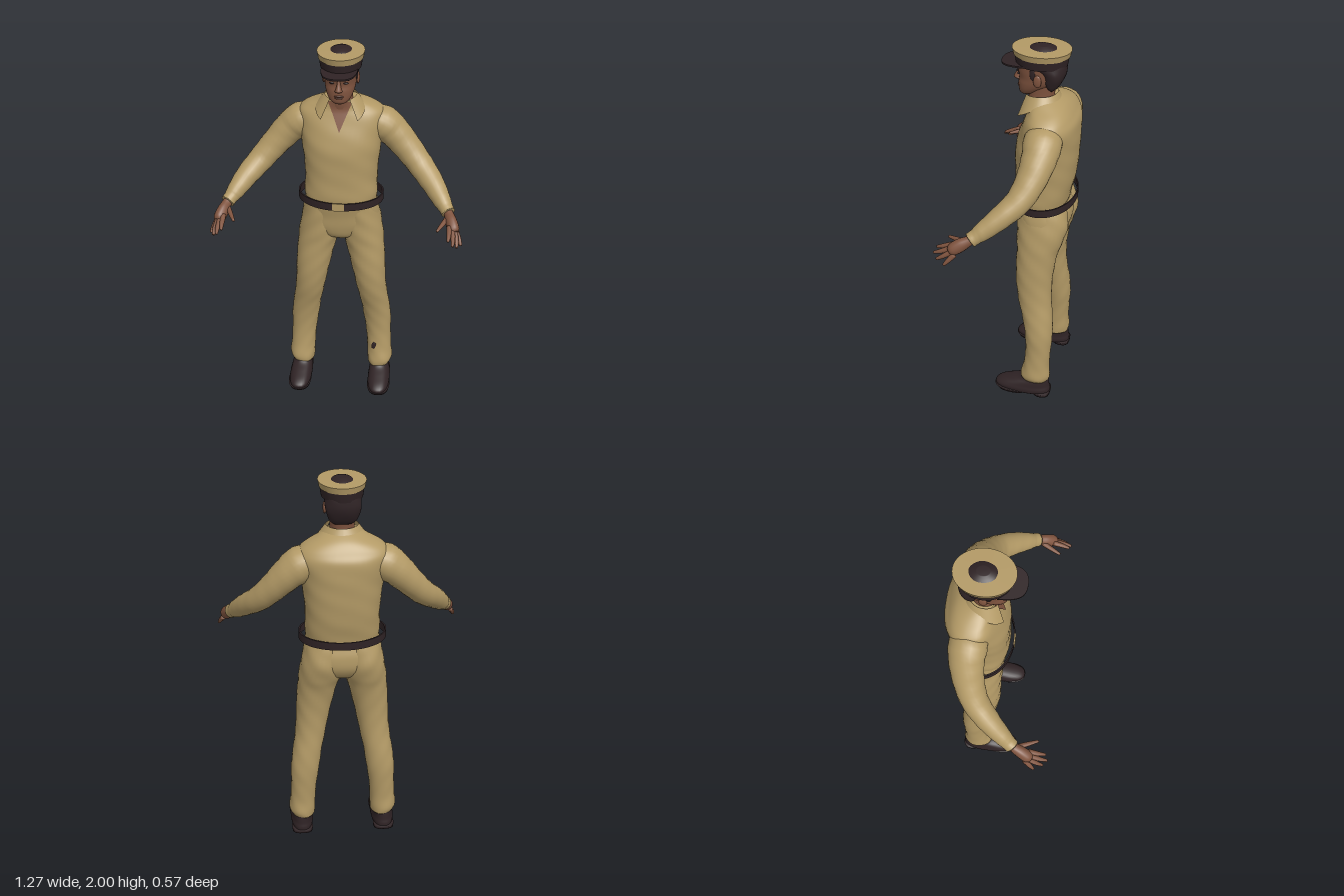
import * as THREE from 'three';
import { toCreasedNormals } from 'three/addons/utils/BufferGeometryUtils.js';

const mat = (name, color, side = THREE.FrontSide) => {
  const m = new THREE.MeshStandardMaterial({ color, side });
  m.name = name;
  return m;
};

// Smooth interpolation between rows of numbers
function at(rows, t) {
  const i = Math.min(Math.floor(t), rows.length - 2), f = t - i;
  const r = k => rows[Math.max(0, Math.min(rows.length - 1, k))];
  return rows[0].map((_, c) => {
    const [a, b, d, e] = [r(i - 1)[c], r(i)[c], r(i + 1)[c], r(i + 2)[c]];
    return b + 0.5 * f * (d - a + f * (2 * a - 5 * b + 4 * d - e + f * (3 * (b - d) + e - a)));
  });
}

// Skin over a stack of closed rings, closed at both ends
function skin(rings) {
  const n = rings[0].length, pos = [], idx = [];
  const centre = ring => {
    const c = ring.reduce((s, p) => s.add(p), new THREE.Vector3()).divideScalar(n);
    return ring.map(() => c);
  };
  const all = [centre(rings[0]), ...rings, centre(rings[rings.length - 1])];
  all.forEach(ring => ring.forEach(p => pos.push(p.x, p.y, p.z)));
  for (let j = 0; j < all.length - 1; j++) for (let i = 0; i < n; i++) {
    const a = j * n + i, b = j * n + (i + 1) % n;
    idx.push(a, b, b + n, a, b + n, a + n);
  }
  const g = new THREE.BufferGeometry();
  g.setAttribute('position', new THREE.Float32BufferAttribute(pos, 3));
  g.setIndex(idx);
  g.computeVertexNormals();
  return g;
}

// Upright loft, rows: [y, centreX, halfWidth, frontZ, backZ, roundness]
function loft(rows, folds = 0, seg = 32, sub = 5) {
  const rings = [], pw = (v, n) => Math.sign(v) * Math.abs(v) ** (2 / n);
  for (let k = 0; k <= (rows.length - 1) * sub; k++) {
    const [y, cx, hx, zf, zb, n] = at(rows, k / sub);
    rings.push(Array.from({ length: seg }, (_, i) => {
      const a = i / seg * Math.PI * 2;
      const w = 1 + folds * Math.sin(3 * a + 31 * y) * Math.sin(23 * y + 2 * a);
      return new THREE.Vector3(cx + hx * w * pw(Math.sin(a), n), y, (zf + zb) / 2 + (zf - zb) / 2 * w * pw(Math.cos(a), n));
    }));
  }
  return skin(rings);
}

// Limb along a path, rows: [x, y, z, radiusA, radiusB]
function limb(rows, seg = 16, sub = 5, folds = 0) {
  const rings = [], last = rows.length - 1, P = t => new THREE.Vector3(...at(rows, t));
  for (let k = 0; k <= last * sub; k++) {
    const t = k / sub, r = at(rows, t);
    const dir = P(Math.min(last, t + 0.1)).sub(P(Math.max(0, t - 0.1))).normalize();
    const u = new THREE.Vector3(0, 1, 0).addScaledVector(dir, -dir.y).normalize();
    const v = new THREE.Vector3().crossVectors(dir, u);
    rings.push(Array.from({ length: seg }, (_, i) => {
      const a = i / seg * Math.PI * 2, w = 1 + folds * Math.sin(2 * a + 4 * t) * Math.sin(5 * t);
      return P(t).addScaledVector(u, r[3] * w * Math.cos(a)).addScaledVector(v, r[4] * w * Math.sin(a));
    }));
  }
  return skin(rings);
}

function mirror(geo) {
  const g = geo.clone().scale(-1, 1, 1), ix = g.index.array;
  for (let i = 0; i < ix.length; i += 3) [ix[i], ix[i + 1]] = [ix[i + 1], ix[i]];
  g.computeVertexNormals();
  return g;
}

// Front depth of an upright loft at x, y
function frontZ(rows, x, y) {
  let lo = 0, hi = rows.length - 1;
  for (let i = 0; i < 24; i++) at(rows, (lo + hi) / 2)[0] < y ? lo = (lo + hi) / 2 : hi = (lo + hi) / 2;
  const [, cx, hx, zf, zb, n] = at(rows, lo);
  return (zf + zb) / 2 + (zf - zb) / 2 * (1 - Math.min(1, Math.abs(x - cx) / hx) ** n) ** (1 / n);
}

export function createModel() {
  const model = new THREE.Group();
  const khaki = mat('khaki cloth', 0xb39a66, THREE.DoubleSide), brown = mat('brown skin', 0x80543f, THREE.DoubleSide);
  const dark = mat('dark leather and hair', 0x2f2325, THREE.DoubleSide), lip = mat('lips', 0x653f32);
  const add = (name, geo, m, x = 0, y = 0, z = 0) => {
    const mesh = new THREE.Mesh(geo, m);
    mesh.name = name;
    mesh.position.set(x, y, z);
    model.add(mesh);
    return mesh;
  };
  const pair = (name, geo, m) => {
    add('left' + name, geo, m);
    add('right' + name, mirror(geo), m);
  };

  // Shirt body
  const torso = [
    [1.17, 0, .183, .03, -.235, 2.4], [1.22, 0, .19, .035, -.245, 2.4], [1.3, 0, .187, .033, -.262, 2.4],
    [1.4, 0, .193, .033, -.273, 2.4], [1.48, 0, .203, .031, -.278, 2.3], [1.55, 0, .212, .015, -.28, 2.3],
    [1.62, 0, .222, -.01, -.275, 2.4], [1.66, 0, .215, -.025, -.255, 2.4], [1.69, 0, .18, -.035, -.235, 2.3],
    [1.715, 0, .13, -.035, -.21, 2.2], [1.74, 0, .085, -.03, -.17, 2]];
  add('shirt', loft(torso, .012, 48), khaki);

  // Open neckline, a thin sheet following the chest
  const vee = new THREE.PlaneGeometry(2, 1, 10, 12), vp = vee.attributes.position;
  for (let i = 0; i < vp.count; i++) {
    const k = vp.getY(i) + .5, y = 1.585 + .15 * k, x = vp.getX(i) * .062 * k;
    vp.setXYZ(i, x, y, frontZ(torso, x, y) + .006);
  }
  vee.computeVertexNormals();
  add('neckline', vee, brown);

  // Collar flaps, folded down around the neck
  const flap = new THREE.PlaneGeometry(1, 1, 16, 3), fp = flap.attributes.position;
  for (let i = 0; i < fp.count; i++) {
    const u = fp.getX(i) + .5, v = .5 - fp.getY(i), a = .65 + u * (Math.PI - .65), front = Math.max(0, 1 - 2.5 * u);
    fp.setXYZ(i, Math.sin(a) * (.08 + .035 * v + .035 * v * front), 1.762 - .008 * front - v * (.045 + .055 * front),
      -.085 + Math.cos(a) * (.08 + .025 * v) + .012 * v * front);
  }
  flap.computeVertexNormals();
  pair('Collar', flap, khaki);

  // Sleeves with cuffs
  pair('Sleeve', limb([
    [.13, 1.61, -.14, .06, .08], [.2, 1.585, -.145, .088, .095], [.265, 1.535, -.145, .082, .085],
    [.34, 1.455, -.125, .072, .074], [.41, 1.378, -.085, .064, .066], [.475, 1.315, -.015, .056, .058],
    [.525, 1.258, .055, .046, .046], [.545, 1.236, .085, .037, .038], [.56, 1.22, .108, .037, .036]], 24, 5, .03), khaki);

  // Hands: palm, four fingers and thumb
  pair('Palm', limb([[.545, 1.237, .085, .024, .022], [.562, 1.216, .115, .026, .024],
    [.575, 1.195, .15, .034, .029], [.588, 1.172, .185, .032, .03], [.594, 1.16, .2, .02, .022]]), brown);
  const fingers = [
    ['Index', [.567, 1.186, .19], [.567, 1.166, .24], [.564, 1.152, .275]],
    ['Middle', [.583, 1.174, .193], [.588, 1.148, .248], [.587, 1.132, .285]],
    ['Ring', [.596, 1.162, .188], [.606, 1.134, .232], [.608, 1.113, .265]],
    ['Little', [.604, 1.152, .175], [.62, 1.122, .203], [.629, 1.1, .222]],
    ['Thumb', [.555, 1.2, .132], [.53, 1.19, .185], [.508, 1.182, .232]]];
  for (const [name, a, b, c] of fingers)
    pair(name + 'Finger', limb([[...a, .014, .014], [...b, .0115, .0115], [...c, .007, .007]], 10, 4), brown);

  // Trousers
  add('trouserSeat', loft([
    [.935, 0, .02, -.06, -.14, 2], [.97, 0, .13, -.012, -.205, 2.2], [1.03, 0, .2, .008, -.245, 2.3],
    [1.1, 0, .201, .016, -.25, 2.4], [1.16, 0, .19, .028, -.235, 2.4], [1.2, 0, .183, .03, -.235, 2.4]], .006, 40), khaki);
  const leg = [
    [.095, .215, .06, -.05, -.2, 2.1], [.13, .222, .07, -.045, -.206, 2.1], [.2, .218, .068, -.06, -.2, 2.1],
    [.3, .211, .069, -.068, -.205, 2.1], [.4, .202, .076, -.062, -.21, 2.1], [.5, .188, .077, -.045, -.205, 2.1],
    [.6, .17, .08, -.02, -.195, 2.1], [.7, .157, .086, -.005, -.193, 2.1], [.8, .145, .095, 0, -.2, 2.1],
    [.9, .13, .103, 0, -.216, 2.1], [.97, .116, .11, .004, -.238, 2.1], [1.05, .106, .106, .008, -.256, 2.1],
    [1.12, .1, .095, .012, -.248, 2.1], [1.18, .09, .088, .015, -.23, 2.1]];
  pair('TrouserLeg', loft(leg, .03), khaki);

  // Small dark tear on the left shin
  const tear = add('trouserTear', new THREE.SphereGeometry(1, 12, 8), dark, .19, .228, frontZ(leg, .19, .228) + .001);
  tear.scale.set(.014, .024, .004);

  // Shoes: upper, front sole and heel
  pair('ShoeUpper', loft([
    [.014, .223, .06, .098, -.208, 2.5], [.035, .223, .062, .098, -.208, 2.5], [.055, .222, .058, .07, -.204, 2.4],
    [.075, .221, .054, .015, -.202, 2.3], [.095, .219, .05, -.04, -.2, 2.2], [.12, .218, .048, -.06, -.195, 2]]), dark);
  pair('ShoeSole', loft([[0, .224, .059, .09, -.09, 2.4], [.02, .224, .064, .103, -.1, 2.4]], 0, 32, 2), dark);
  pair('ShoeHeel', loft([[0, .224, .055, -.12, -.21, 2.8], [.02, .224, .057, -.11, -.212, 2.8]], 0, 32, 2), dark);

  // Belt hoop standing off the waist, and its buckle
  const ring = pts => toCreasedNormals(new THREE.LatheGeometry(pts.map(p => new THREE.Vector2(...p)), 64), .6);
  const belt = add('belt', ring([[.214, 1.165], [.222, 1.165], [.222, 1.206], [.214, 1.206], [.214, 1.165]]), dark, 0, 0, -.11);
  belt.scale.z = .745;
  add('buckle', new THREE.BoxGeometry(.06, .042, .008), khaki, 0, 1.186, .054);

  // Neck and head
  add('neck', loft([[1.64, 0, .07, -.04, -.16, 2], [1.7, 0, .066, -.028, -.155, 2], [1.75, 0, .06, -.022, -.15, 2],
    [1.82, 0, .062, -.03, -.16, 2]]), brown);
  add('head', loft([
    [1.742, 0, .026, .014, -.03, 2.2], [1.755, 0, .046, .023, -.06, 2.2], [1.78, 0, .063, .026, -.1, 2.2],
    [1.81, 0, .074, .027, -.15, 2.2], [1.84, 0, .079, .023, -.18, 2.2], [1.88, 0, .082, .03, -.19, 2.2],
    [1.92, 0, .082, .025, -.19, 2.2], [1.96, 0, .07, 0, -.175, 2]]), brown);
  add('nose', loft([[1.808, 0, .012, .03, .01, 2], [1.816, 0, .019, .05, .01, 2], [1.825, 0, .015, .052, .01, 2],
    [1.85, 0, .009, .038, .01, 2], [1.872, 0, .008, .03, .01, 2]], 0, 16), brown);
  const blob = (name, m, x, y, z, sx, sy, sz) => add(name, new THREE.SphereGeometry(1, 16, 12), m, x, y, z).scale.set(sx, sy, sz);
  blob('upperLip', lip, 0, 1.787, .026, .024, .005, .006);
  blob('lowerLip', lip, 0, 1.778, .026, .02, .005, .006);
  for (const s of [-1, 1]) {
    blob('eye', dark, s * .034, 1.855, .019, .013, .005, .006);
    add('eyebrow', new THREE.BoxGeometry(.034, .007, .008), dark, s * .036, 1.874, .024).rotation.set(0, s * .2, s * .12);
    blob('ear', brown, s * .084, 1.845, -.085, .009, .032, .02);
    // Sideburn in front of the ear
    blob('sideburn', dark, s * .079, 1.88, -.06, .006, .035, .014);
  }

  // Hair: back of the head and the crown showing through the cap
  add('hair', loft([
    [1.782, 0, .045, -.13, -.158, 2], [1.8, 0, .066, -.115, -.175, 2.2], [1.83, 0, .078, -.1, -.192, 2.3],
    [1.86, 0, .085, -.095, -.203, 2.3], [1.89, 0, .088, -.07, -.207, 2.3], [1.93, 0, .088, .02, -.205, 2.3],
    [1.965, 0, .078, -.005, -.185, 2.1], [1.988, 0, .05, -.028, -.153, 2], [2, 0, .024, -.06, -.12, 2]], .02), dark);

  // Cap: band, crown with an open centre, and visor
  const band = add('capBand', ring([[.097, 1.908], [.101, 1.908], [.108, 1.956], [.1, 1.956], [.097, 1.908]]), dark, 0, 0, -.085);
  const crown = add('capCrown', ring([[.1, 1.954], [.111, 1.954], [.117, 1.985], [.03, 1.987]]), khaki, 0, 0, -.085);
  band.scale.z = crown.scale.z = 1.235;
  const visor = new THREE.Shape();
  visor.moveTo(-.09, -.02);
  visor.bezierCurveTo(-.088, .08, -.06, .11, 0, .11);
  visor.bezierCurveTo(.06, .11, .088, .08, .09, -.02);
  visor.bezierCurveTo(.06, .045, -.06, .045, -.09, -.02);
  const brim = new THREE.ExtrudeGeometry(visor, { depth: .008, bevelEnabled: false, curveSegments: 20 });
  brim.rotateX(Math.PI / 2);
  add('capVisor', toCreasedNormals(brim, .6), dark, 0, 1.915, 0).rotation.x = .05;

  return model;
}
